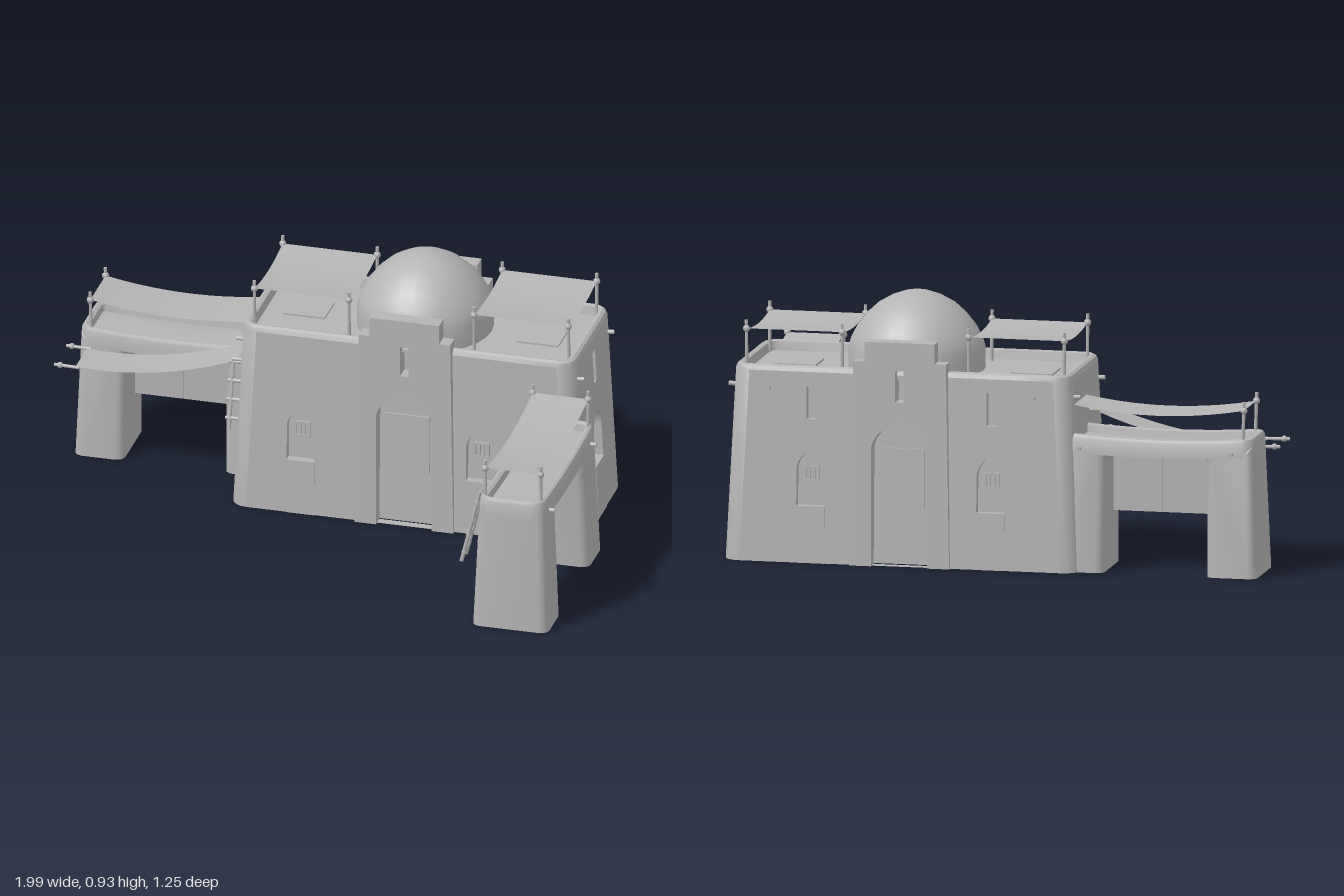
import * as THREE from 'three';
import { toCreasedNormals } from 'three/addons/utils/BufferGeometryUtils.js';

const plaster = new THREE.MeshStandardMaterial({ color: 0xb4b4b4, side: THREE.DoubleSide });
plaster.name = 'grey plaster';

function add(parent, name, geometry, x = 0, y = 0, z = 0) {
  const mesh = new THREE.Mesh(geometry, plaster);
  mesh.name = name;
  mesh.position.set(x, y, z);
  parent.add(mesh);
  return mesh;
}

function group(parent, name, x = 0, y = 0, z = 0, turn = 0) {
  const g = new THREE.Group();
  g.name = name;
  g.position.set(x, y, z);
  g.rotation.y = turn;
  parent.add(g);
  return g;
}

const box = (w, h, d) => new THREE.BoxGeometry(w, h, d);

// Round bar between two points
function bar(parent, name, a, b, r) {
  const from = new THREE.Vector3(...a), to = new THREE.Vector3(...b);
  const dir = to.clone().sub(from);
  const mesh = add(parent, name, new THREE.CylinderGeometry(r, r, dir.length(), 8));
  mesh.position.copy(from).add(to).multiplyScalar(0.5);
  mesh.quaternion.setFromUnitVectors(new THREE.Vector3(0, 1, 0), dir.normalize());
  return mesh;
}

// Rounded rectangle ring of 48 points, counter-clockwise from above: 5 per corner, 7 along each side
function ring(hx, hz, r) {
  const arcs = [], out = [];
  [[1, 1], [-1, 1], [-1, -1], [1, -1]].forEach(([sx, sz], k) => {
    for (let i = 0; i <= 4; i++) {
      const a = (k + i / 4) * Math.PI / 2;
      arcs.push([sx * (hx - r) + r * Math.cos(a), -sz * (hz - r) - r * Math.sin(a)]);
    }
  });
  arcs.forEach((p, i) => {
    out.push(p);
    if (i % 5 !== 4) return;
    const q = arcs[(i + 1) % arcs.length];
    for (let t = 1; t < 8; t++) out.push([p[0] + (q[0] - p[0]) * t / 8, p[1] + (q[1] - p[1]) * t / 8]);
  });
  return out;
}

// Loft through rings [halfX, halfZ, y, cornerRadius], capped on top; the lowest sides may be left open
function loft(sections, sag, openSides) {
  const pos = [], idx = [], n = 48, last = sections.length - 1;
  for (const [hx, hz, y, r] of sections) {
    for (const [x, z] of ring(hx, hz, r)) pos.push(x, y - sag(x), z);
  }
  const centre = pos.length / 3;
  pos.push(0, sections[last][2] - sag(0), 0);
  for (let i = 0; i < n; i++) {
    const j = (i + 1) % n;
    for (let k = openSides && i % 12 >= 4 ? 1 : 0; k < last; k++) {
      const a = k * n + i, b = k * n + j;
      idx.push(a, b, a + n, b, b + n, a + n);
    }
    idx.push(last * n + i, last * n + j, centre);
  }
  const g = new THREE.BufferGeometry();
  g.setAttribute('position', new THREE.Float32BufferAttribute(pos, 3));
  g.setIndex(idx);
  return toCreasedNormals(g, 0.6);
}

// Pointed arch outline; rectangle outline
function arch(path, u, w, base, spring, apex) {
  const shoulder = spring + (apex - spring) * 0.7;
  path.moveTo(u - w, base).lineTo(u + w, base).lineTo(u + w, spring);
  path.quadraticCurveTo(u + w * 0.85, shoulder, u, apex);
  path.quadraticCurveTo(u - w * 0.85, shoulder, u - w, spring);
  return path;
}
function rect(path, x0, x1, y0, y1) {
  return path.moveTo(x0, y0).lineTo(x1, y0).lineTo(x1, y1).lineTo(x0, y1).lineTo(x0, y0);
}
const extrude = (shape, depth) => new THREE.ExtrudeGeometry(shape, { depth, bevelEnabled: false, curveSegments: 8 });

// Flat leaning wall with recessed niches, slit windows and an optional doorway
function wallPanel(face, u0, u1, niches, slits, doorway) {
  const s = new THREE.Shape();
  s.moveTo(-u0, 0).lineTo(u0, 0).lineTo(u1, 0.6705).lineTo(-u1, 0.6705);
  if (doorway) {
    s.holes.push(arch(new THREE.Path(), 0, 0.1, 0.002, 0.42, 0.51));
    s.holes.push(rect(new THREE.Path(), -0.015, 0.015, 0.58, 0.66));
    add(face, 'doorwayBack', box(0.24, 0.66, 0.004), 0, 0.335, -0.032);
    add(face, 'door', box(0.16, 0.212, 0.012), 0, 0.306, -0.028);
  }
  for (const u of niches) {
    s.holes.push(arch(new THREE.Path(), u, 0.05, 0.2, 0.33, 0.397));
    add(face, 'nicheBack', box(0.12, 0.22, 0.004), u, 0.3, -0.032);
    add(face, 'nicheFoot', box(0.104, 0.2, 0.008), u, 0.1, -0.001);
    const grate = rect(new THREE.Shape(), u - 0.027, u + 0.027, 0.283, 0.34);
    for (const x of [-0.016, 0, 0.016]) {
      grate.holes.push(rect(new THREE.Path(), u + x - 0.0055, u + x + 0.0055, 0.29, 0.333));
    }
    add(face, 'windowGrate', extrude(grate, 0.008), 0, 0, -0.03);
  }
  for (const u of slits) {
    s.holes.push(rect(new THREE.Path(), u - 0.016, u + 0.016, 0.505, 0.62));
    add(face, 'slitBack', box(0.05, 0.13, 0.004), u, 0.563, -0.032);
  }
  add(face, 'wallPanel', extrude(s, 0.03), 0, 0, -0.03);
}

const peg = (wall, u, y) => bar(wall, 'beamEnd', [u, y, -0.02], [u, y, 0.022], 0.008);

// Cloth sagging along x
function cloth(parent, name, length, width, sag, rise) {
  const g = new THREE.PlaneGeometry(length, width, 10, 1).rotateX(-Math.PI / 2);
  const p = g.attributes.position;
  for (let i = 0; i < p.count; i++) {
    const t = p.getX(i) / length * 2;
    p.setY(i, rise * t / 2 - sag * (1 - t * t));
  }
  g.computeVertexNormals();
  return add(parent, name, g);
}

// Awning on four knotted poles, sagging along x
function awning(parent, hx, hz, roofY, y, sag) {
  const g = group(parent, 'awning');
  cloth(g, 'awningCloth', hx * 2, hz * 2, sag, 0).position.y = y;
  for (const sx of [-1, 1]) for (const sz of [-1, 1]) {
    bar(g, 'awningPole', [sx * (hx - 0.004), roofY, sz * hz], [sx * (hx + 0.001), y + 0.03, sz * hz], 0.006);
    add(g, 'poleKnot', new THREE.SphereGeometry(0.013, 8, 6), sx * hx, y, sz * hz);
  }
  return g;
}

// Gate with two open-bottomed legs, sagging beam, shutters, awning and ladder
function gate(parent, name, x, z, turn) {
  const g = group(parent, name, x, 0, z, turn);
  const s = new THREE.Shape();
  s.moveTo(-0.361, -0.03).lineTo(-0.182, -0.03).lineTo(-0.18, 0.39);
  s.quadraticCurveTo(-0.178, 0.42, -0.15, 0.42).quadraticCurveTo(0, 0.408, 0.15, 0.42);
  s.quadraticCurveTo(0.178, 0.42, 0.18, 0.39).lineTo(0.182, -0.03).lineTo(0.361, -0.03);
  s.lineTo(0.343, 0.46).quadraticCurveTo(0, 0.43, -0.343, 0.46);
  const geo = new THREE.ExtrudeGeometry(s, {
    depth: 0.214, bevelThickness: 0.03, bevelSize: 0.03, bevelOffset: -0.03, bevelSegments: 3, curveSegments: 8
  });
  const p = geo.attributes.position, kept = [];
  for (let i = 0; i < p.count; i++) {
    const y = Math.max(0, p.getY(i));
    p.setXYZ(i, p.getX(i), y, (p.getZ(i) - 0.107) * (1 - 0.3 * y));
  }
  for (let i = 0; i < p.count; i += 3) {
    if (p.getY(i) + p.getY(i + 1) + p.getY(i + 2) > 0) kept.push(i, i + 1, i + 2);
  }
  geo.setIndex(kept);
  add(g, 'gateWall', toCreasedNormals(geo.toNonIndexed(), 0.6));
  const rim = [[0, 0.425], [0.003, 0.475], [0.009, 0.487], [0.018, 0.49], [0.03, 0.485], [0.035, 0.46]];
  add(g, 'gateParapet', loft(rim.map(([o, y]) => [0.348 - o, 0.121 - o, y, 0.045 - o]),
    t => 0.016 * (1 - (t / 0.35) ** 2), false));
  const back = group(g, 'gateBack', 0, 0, -0.118, Math.PI);
  for (const sx of [-1, 1]) {
    add(g, 'gateShutter', box(0.174, 0.205, 0.01), sx * 0.0875, 0.303, 0);
    peg(back, sx * 0.27, 0.435);
  }
  awning(g, 0.31, 0.1, 0.45, 0.587, 0.03);
  const ladder = group(g, 'ladder', 0.245, 0, 0);
  for (const sx of [-0.03, 0.03]) bar(ladder, 'ladderRail', [sx, 0.2, 0.195], [sx, 0.475, 0.128], 0.007);
  for (let i = 0; i < 4; i++) {
    const y = 0.24 + i * 0.065, d = 0.195 - (y - 0.2) * 0.244;
    bar(ladder, 'ladderRung', [-0.045, y, d], [0.045, y, d], 0.007);
  }
}

// Stepped entrance front around the doorway
function portal(parent, turn) {
  const g = group(parent, 'portal', 0, 0, 0, turn);
  const s = new THREE.Shape();
  s.moveTo(-0.178, 0).lineTo(-0.1, 0).lineTo(-0.1, 0.42);
  s.quadraticCurveTo(-0.085, 0.483, 0, 0.51).quadraticCurveTo(0.085, 0.483, 0.1, 0.42);
  s.lineTo(0.1, 0).lineTo(0.178, 0).lineTo(0.165, 0.72).lineTo(0.125, 0.72).lineTo(0.125, 0.79);
  s.lineTo(-0.125, 0.79).lineTo(-0.125, 0.72).lineTo(-0.165, 0.72);
  s.holes.push(rect(new THREE.Path(), -0.015, 0.015, 0.58, 0.69));
  const geo = extrude(s, 0.056);
  const p = geo.attributes.position;
  for (let i = 0; i < p.count; i++) p.setZ(i, p.getZ(i) + 0.23 - 0.01 * p.getY(i));
  geo.computeVertexNormals();
  add(g, 'portalWall', geo);
}

export function createModel() {
  const model = new THREE.Group();
  model.name = 'desertHouse';
  const house = group(model, 'house', 0.283, 0, -0.34);

  // Rounded corners, parapet and sunken roof of the tapered main block
  const top = [[0, 0.67], [0.006, 0.684], [0.016, 0.69], [0.03, 0.686], [0.036, 0.655]];
  add(house, 'houseShell', loft([[0.632, 0.272, 0, 0.06],
    ...top.map(([o, y]) => [0.6 - o, 0.251 - o, y, 0.06 - o])], () => 0, true));

  // Drum and pointed dome
  const dome = [[0.238, 0.65], [0.238, 0.73], [0.228, 0.765], [0.208, 0.803], [0.175, 0.845],
    [0.135, 0.882], [0.09, 0.908], [0.045, 0.924], [0, 0.932]];
  add(house, 'dome', toCreasedNormals(new THREE.LatheGeometry(dome.map(d => new THREE.Vector2(...d)), 28), 0.45));
  portal(house, 0);
  portal(house, Math.PI);

  // Leaning walls: turn, base distance, lean, half widths, niches, slits, beam ends, doorway
  const walls = [
    ['frontWall', 0, 0.272, 0.0313, 0.572, 0.54, [-0.377, 0.268], [], [], true],
    ['backWall', Math.PI, 0.272, 0.0313, 0.572, 0.54, [-0.32, 0.32], [-0.32, 0.32], [-0.47, 0.47], true],
    ['leftWall', Math.PI / 2, 0.632, 0.0477, 0.212, 0.191, [0.01], [0.01], [-0.195, 0.195], false],
    ['rightWall', -Math.PI / 2, 0.632, 0.0477, 0.212, 0.191, [], [], [-0.195, 0.195], false]
  ];
  for (const [name, turn, base, lean, u0, u1, niches, slits, pegs, doorway] of walls) {
    const face = group(group(house, name, 0, 0, 0, turn), name + 'Face', 0, 0, base);
    face.rotation.x = -lean;
    wallPanel(face, u0, u1, niches, slits, doorway);
    pegs.forEach(u => peg(face, u, 0.61));
  }

  // Roof awnings and hatches
  for (const sx of [-1, 1]) {
    const a = awning(house, 0.185, 0.17, 0.65, 0.803, 0.016);
    a.position.x = sx * 0.395;
    a.rotation.y = Math.PI / 2;
    add(house, 'roofHatch', box(0.15, 0.01, 0.13), sx * 0.42, 0.657, 0);
  }

  // Side gates
  gate(model, 'rightHandGate', -0.615, -0.445, 0);
  gate(model, 'leftHandGate', 0.85, 0.267, -Math.PI / 2);

  // Low shade cloth beside the gate
  const shade = group(model, 'sideShade', -0.635, 0.47, -0.225);
  cloth(shade, 'shadeCloth', 0.58, 0.15, 0.035, 0.1);
  for (const z of [-0.08, 0.075]) {
    bar(shade, 'shadeRod', [-0.365, -0.05, z], [-0.275, -0.052, z], 0.006);
    add(shade, 'rodKnot', new THREE.SphereGeometry(0.011, 8, 6), -0.345, -0.05, z);
    bar(shade, 'shadeHook', [0.275, 0.055, z], [0.33, 0.055, z], 0.007);
  }
  return model;
}
